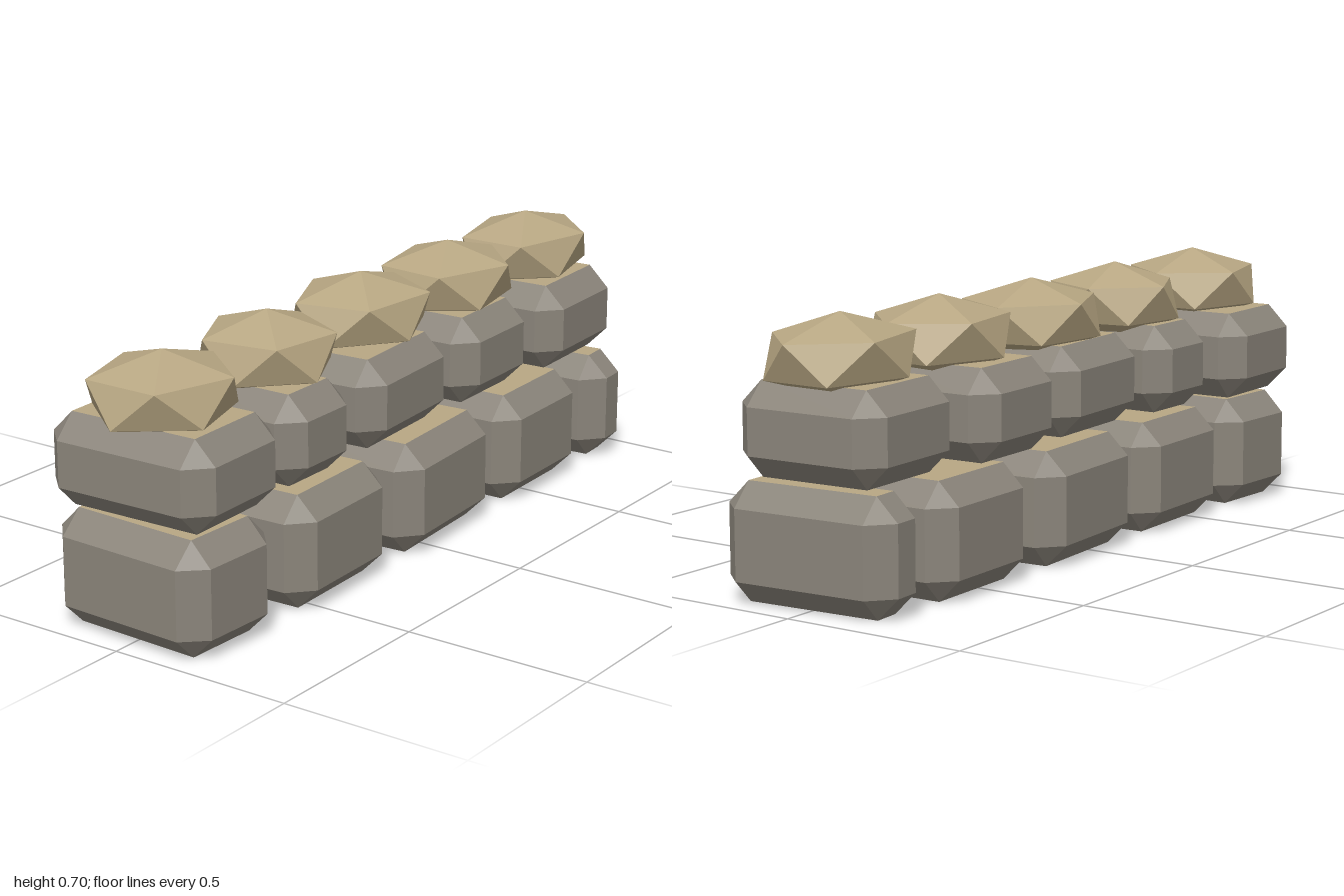
import * as THREE from 'three';
import { ConvexGeometry } from 'three/addons/geometries/ConvexGeometry.js';

const stone = new THREE.MeshStandardMaterial({ color: 0x8b857b, flatShading: true });
stone.name = 'grey stone';
const sand = new THREE.MeshStandardMaterial({ color: 0xb8a783, flatShading: true });
sand.name = 'sandy stone';

const CHAMFER = 0.059;

// Box with every edge chamfered; group 0 is the body, group 1 the top face
function chamferedBlock(w, h, d) {
  const c = CHAMFER, x = w / 2, z = d / 2, xi = x - c, zi = z - c;
  const octagon = [[x, -zi], [x, zi], [xi, z], [-xi, z], [-x, zi], [-x, -zi], [-xi, -z], [xi, -z]];
  const clampLoop = octagon.map(([px, pz]) => [Math.sign(px) * xi, Math.sign(pz) * zi]);
  const loops = [[0, clampLoop], [c, octagon], [h - c, octagon], [h, clampLoop]]
    .map(([y, loop]) => loop.map(([px, pz]) => new THREE.Vector3(px, y, pz)));
  const pts = [];
  const tri = (a, b, e) => {
    if (a.distanceTo(b) > 1e-6 && b.distanceTo(e) > 1e-6 && a.distanceTo(e) > 1e-6) pts.push(a, b, e);
  };
  for (let k = 0; k < 3; k++) {
    for (let i = 0; i < 8; i++) {
      const j = (i + 1) % 8, lo = loops[k], hi = loops[k + 1];
      tri(lo[i], hi[i], hi[j]);
      tri(lo[i], hi[j], lo[j]);
    }
  }
  const [bottom, top] = [loops[0], loops[3]];
  tri(bottom[0], bottom[2], bottom[4]);
  tri(bottom[0], bottom[4], bottom[6]);
  const bodyCount = pts.length;
  tri(top[0], top[4], top[2]);
  tri(top[0], top[6], top[4]);
  const geo = new THREE.BufferGeometry().setFromPoints(pts);
  geo.addGroup(0, bodyCount, 0);
  geo.addGroup(bodyCount, pts.length - bodyCount, 1);
  geo.computeVertexNormals();
  return geo;
}

// Squashed icosahedron standing on a vertex
function capRock(rx, ry, rz, phase) {
  const pts = [new THREE.Vector3(0, ry, 0), new THREE.Vector3(0, -ry, 0)];
  for (let i = 0; i < 10; i++) {
    const a = phase + i * Math.PI / 5;
    pts.push(new THREE.Vector3(Math.cos(a) * rx, (i % 2 ? -0.47 : 0.47) * ry, Math.sin(a) * rz));
  }
  return new ConvexGeometry(pts);
}

export function createModel() {
  const model = new THREE.Group();
  model.name = 'stoneWall';

  // Courses: left edge, right edge, back, front, yaw of each stone
  const courses = [
    { name: 'lowerStone', y: 0, h: 0.297, stones: [
      [-0.98, -0.645, -0.245, 0.24, -0.04],
      [-0.61, -0.187, -0.24, 0.252, 0.04],
      [-0.163, 0.302, -0.258, 0.255, 0.07],
      [0.329, 0.74, -0.255, 0.245, 0.035],
      [0.762, 0.978, -0.245, 0.248, 0.07],
    ] },
    { name: 'upperStone', y: 0.307, h: 0.236, stones: [
      [-0.975, -0.612, -0.255, 0.236, 0.03],
      [-0.583, -0.302, -0.21, 0.215, 0.01],
      [-0.262, 0.16, -0.21, 0.21, 0.07],
      [0.19, 0.548, -0.243, 0.2, 0.04],
      [0.575, 0.965, -0.215, 0.22, 0.05],
    ] },
  ];
  for (const { name, y, h, stones } of courses) {
    stones.forEach(([x0, x1, z0, z1, yaw], i) => {
      const s = Math.abs(Math.sin(yaw));
      const d = z1 - z0 - s * (x1 - x0 - 2 * CHAMFER);
      const w = x1 - x0 - s * (d - 2 * CHAMFER);
      const mesh = new THREE.Mesh(chamferedBlock(w, h, d), [stone, sand]);
      mesh.position.set((x0 + x1) / 2, y, (z0 + z1) / 2);
      mesh.rotation.y = yaw;
      mesh.name = name + (i + 1);
      model.add(mesh);
    });
  }

  // Rough cap rocks: x, z, radius x, radius z, phase
  const caps = [
    [-0.805, 0, 0.192, 0.178, 0],
    [-0.4, 0, 0.178, 0.175, -0.17],
    [0.012, -0.01, 0.204, 0.172, -0.2],
    [0.4, 0, 0.2, 0.17, 0.08],
    [0.788, 0.002, 0.212, 0.163, 0],
  ];
  caps.forEach(([x, z, rx, rz, phase], i) => {
    const mesh = new THREE.Mesh(capRock(rx, 0.104, rz, phase), sand);
    mesh.position.set(x, 0.6, z);
    mesh.name = 'capRock' + (i + 1);
    model.add(mesh);
  });
  return model;
}
